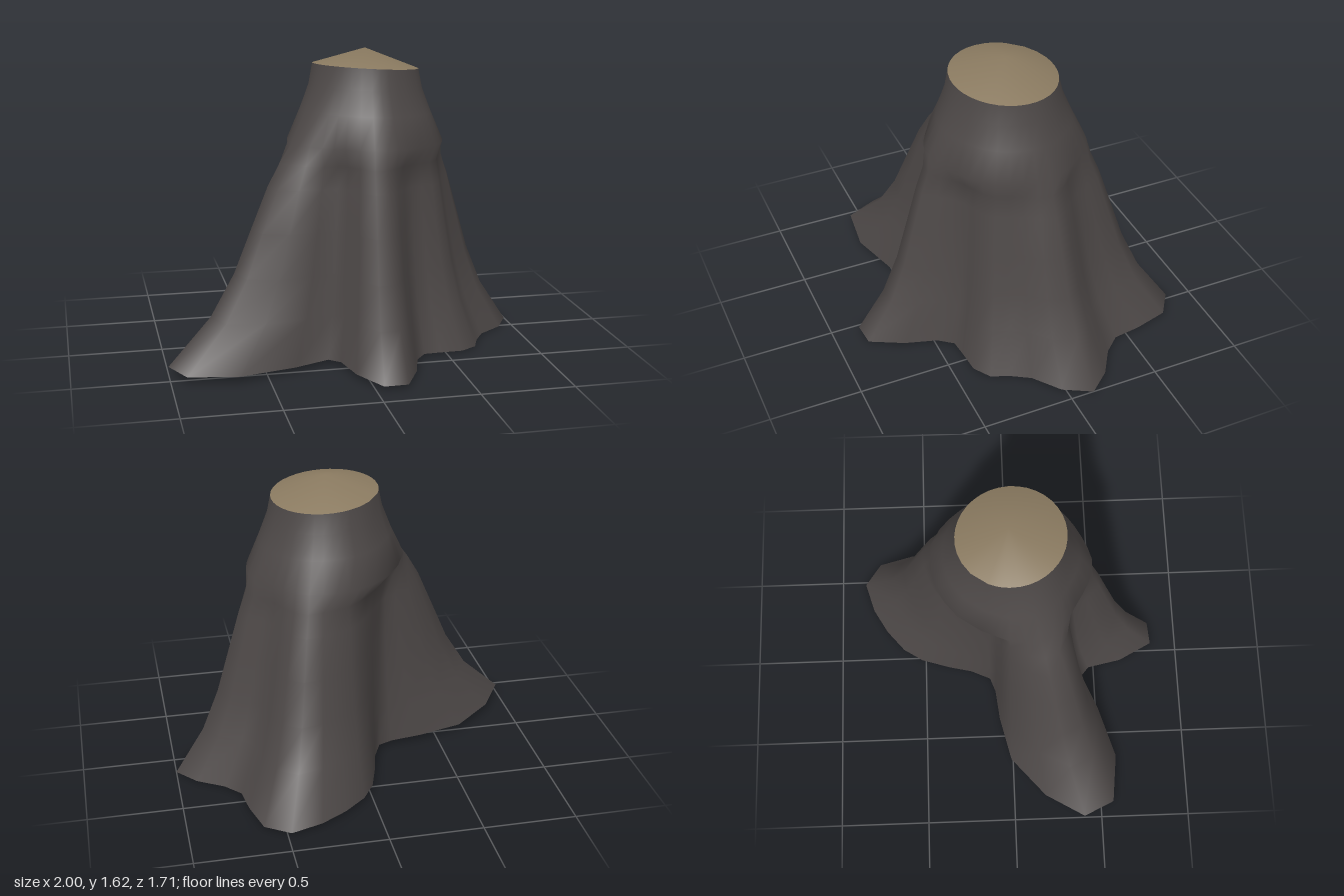
import * as THREE from 'three';

const CX = 0.13; // trunk axis

// Outline of the root flare on the ground, as x, z pairs around the axis
const base = [
  [1.0, -0.13], [0.92, 0.02], [0.78, 0.13], [0.72, 0.23], [0.68, 0.33], [0.59, 0.39],
  [0.46, 0.4], [0.37, 0.41], [0.31, 0.49], [0.26, 0.66], [0.17, 0.84], [0.04, 0.85],
  [-0.06, 0.66], [-0.1, 0.47], [-0.16, 0.42], [-0.35, 0.51], [-0.65, 0.6], [-0.92, 0.57],
  [-1.0, 0.4], [-0.87, 0.18], [-0.65, -0.01], [-0.4, -0.07], [-0.23, -0.09], [-0.15, -0.12],
  [-0.1, -0.23], [-0.07, -0.36], [-0.02, -0.52], [0.05, -0.63], [0.17, -0.73], [0.31, -0.81],
  [0.48, -0.86], [0.61, -0.77], [0.66, -0.58], [0.68, -0.43], [0.76, -0.34], [0.9, -0.25],
].map(([x, z]) => ({ a: Math.atan2(z, x - CX), r: Math.hypot(x - CX, z) }));

// Rings: height, share of the root flare, radius of the round trunk
const rings = [
  [0, 1, 0.29], [0.24, 0.725, 0.29], [0.46, 0.57, 0.29], [0.69, 0.455, 0.29],
  [0.91, 0.335, 0.3], [1.03, 0.24, 0.315], [1.13, 0.06, 0.405], [1.29, 0.03, 0.345],
  [1.42, 0.01, 0.303], [1.53, 0, 0.285],
];
const topY = 1.53;

// Point on the bark, with a slanted foot and a slanted cut
function barkPoint({ a, r }, [y, flare, round]) {
  const trunk = round + 0.012 * Math.sin(a);
  const d = trunk + (r - trunk) * flare;
  const x = CX + d * Math.cos(a), z = d * Math.sin(a);
  const k = y / topY;
  const foot = 0.025 - 0.022 * x;
  const cut = -0.07 * (x - CX) + 0.06 * z;
  return [x, y + foot * (1 - k) + cut * k ** 4, z];
}

function makeGeometry(points, index) {
  const g = new THREE.BufferGeometry();
  g.setAttribute('position', new THREE.Float32BufferAttribute(points.flat(), 3));
  g.setIndex(index);
  g.computeVertexNormals();
  return g;
}

export function createModel() {
  const bark = new THREE.MeshStandardMaterial({ color: 0x4d4847, side: THREE.DoubleSide });
  bark.name = 'dark bark';
  const wood = new THREE.MeshStandardMaterial({ color: 0x8a7a60, side: THREE.DoubleSide });
  wood.name = 'cut wood';
  const n = base.length;

  // Bark with flaring roots, open underneath
  const points = rings.flatMap((ring) => base.map((b) => barkPoint(b, ring)));
  const index = [];
  for (let j = 0; j < rings.length - 1; j++) {
    for (let i = 0; i < n; i++) {
      const a = j * n + i, b = j * n + (i + 1) % n;
      index.push(a, a + n, b, b, a + n, b + n);
    }
  }
  const trunk = new THREE.Mesh(makeGeometry(points, index), bark);
  trunk.name = 'barkAndRoots';

  // Cut face, rising to a low peak
  const rim = points.slice(-n);
  const capIndex = [];
  for (let i = 0; i < n; i++) capIndex.push(n, (i + 1) % n, i);
  const cap = new THREE.Mesh(makeGeometry([...rim, [CX, 1.625, 0]], capIndex), wood);
  cap.name = 'cutTop';

  const stump = new THREE.Group();
  stump.name = 'treeStump';
  stump.add(trunk, cap);
  return stump;
}
